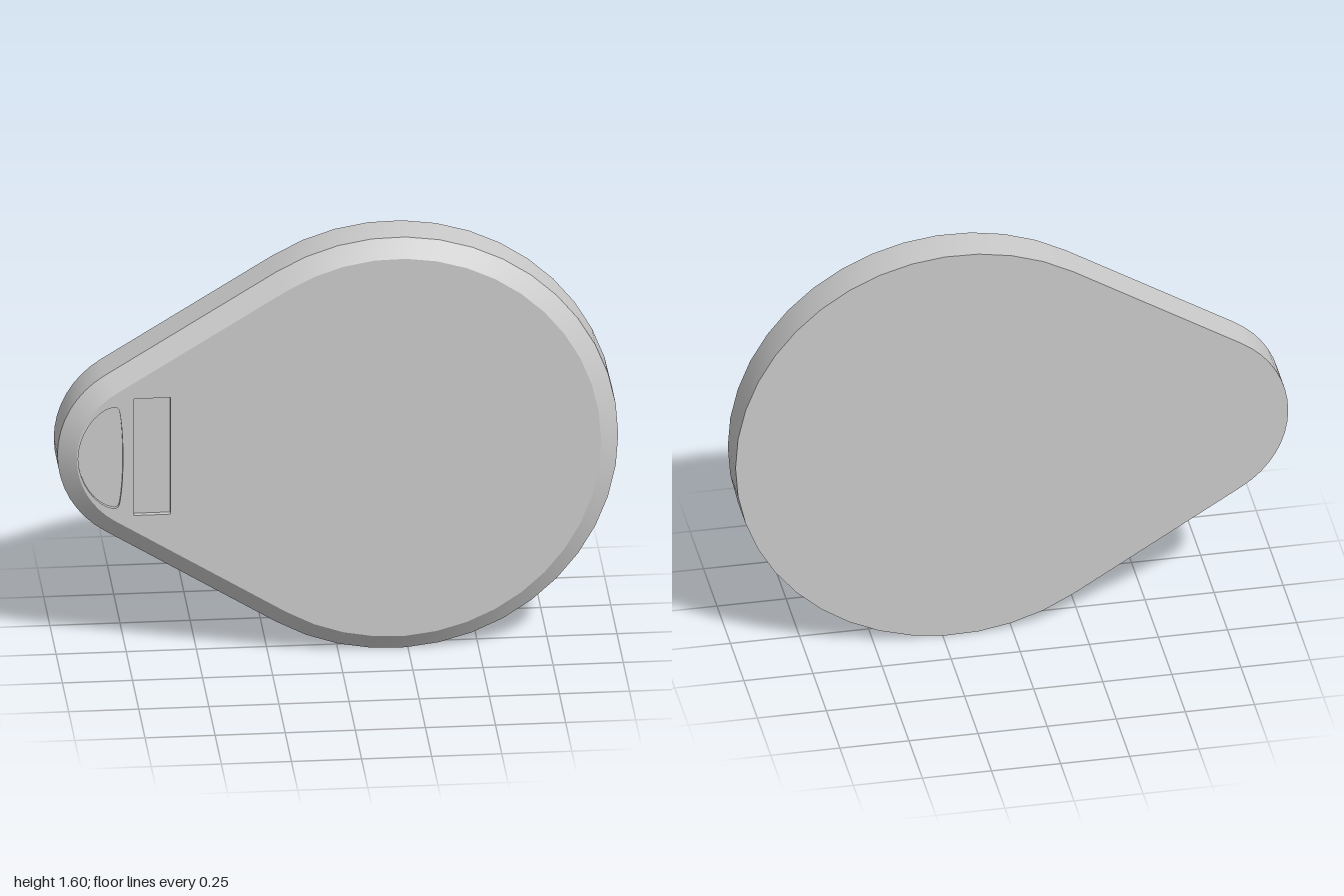
import * as THREE from 'three';

const material = new THREE.MeshStandardMaterial({ color: 0xcccccc });
const BACK = -0.095, EDGE = 0.05, FRONT = 0.095, BEVEL = 0.065;

// Points along an arc, counter-clockwise
function arc(cx, radius, from, to, steps) {
  return Array.from({ length: steps + 1 }, (_, i) => {
    const a = from + (to - from) * i / steps;
    return new THREE.Vector2(cx + radius * Math.cos(a), radius * Math.sin(a));
  });
}

// Teardrop outline: a large and a small arc joined by their common tangents
function outline(inset) {
  const R = 0.8, r = 0.355, bigX = 0.2, smallX = -0.645;
  const t = Math.PI - Math.acos((R - r) / (bigX - smallX));
  return [
    ...arc(bigX, R - inset, -t, t, 28),
    ...arc(smallX, r - inset, t, 2 * Math.PI - t, 16),
  ];
}

// Closed band between two loops; faces outward when z rises, inward when it falls
function band(loopA, zA, loopB, zB, flat) {
  const n = loopA.length, pos = [], index = [];
  loopA.forEach(p => pos.push(p.x, p.y, zA));
  loopB.forEach(p => pos.push(p.x, p.y, zB));
  for (let i = 0; i < n; i++) {
    const j = (i + 1) % n;
    index.push(i, j, n + j, i, n + j, n + i);
  }
  let geo = new THREE.BufferGeometry();
  geo.setAttribute('position', new THREE.Float32BufferAttribute(pos, 3));
  geo.setIndex(index);
  if (flat) geo = geo.toNonIndexed();
  geo.computeVertexNormals();
  return geo;
}

// Flat face at height z, with optional holes
function face(loop, z, holes = []) {
  const shape = new THREE.Shape(loop);
  holes.forEach(h => shape.holes.push(new THREE.Path(h)));
  return new THREE.ShapeGeometry(shape).translate(0, 0, z);
}

export function createModel() {
  const group = new THREE.Group();
  const add = (name, geometry) => {
    const mesh = new THREE.Mesh(geometry, material);
    mesh.name = name;
    group.add(mesh);
  };

  // Rectangular slot and rounded thumb recess near the narrow end
  const slot = [[-0.73, -0.227], [-0.6, -0.227], [-0.6, 0.227], [-0.73, 0.227]]
    .map(([x, y]) => new THREE.Vector2(x, y));
  const thumb = new THREE.Shape();
  thumb.moveTo(-0.77, 0);
  thumb.quadraticCurveTo(-0.77, 0.11, -0.782, 0.178);
  thumb.quadraticCurveTo(-0.786, 0.2, -0.805, 0.197);
  thumb.bezierCurveTo(-0.87, 0.185, -0.93, 0.09, -0.93, 0);
  thumb.bezierCurveTo(-0.93, -0.09, -0.87, -0.185, -0.805, -0.197);
  thumb.quadraticCurveTo(-0.786, -0.2, -0.782, -0.178);
  thumb.quadraticCurveTo(-0.77, -0.11, -0.77, 0);
  const thumbLoop = thumb.getPoints(8).slice(0, -1);

  // Body shell
  const outer = outline(0), inner = outline(BEVEL);
  add('sideWall', band(outer, BACK, outer, EDGE));
  add('frontBevel', band(outer, EDGE, inner, FRONT));
  add('frontFace', face(inner, FRONT, [slot, thumbLoop]));
  add('backFace', face(outer, 0).rotateX(Math.PI).translate(0, 0, BACK));

  // Recess walls and floors
  const recess = (name, loop, depth, flat) => {
    add(name + 'Wall', band(loop, FRONT, loop, FRONT - depth, flat));
    add(name + 'Floor', face(loop, FRONT - depth));
  };
  recess('slot', slot, 0.02, true);
  recess('thumbRecess', thumbLoop, 0.015, false);

  group.position.y = 0.8;
  const root = new THREE.Group();
  root.name = 'teardropPlate';
  group.name = 'plate';
  root.add(group);
  return root;
}
